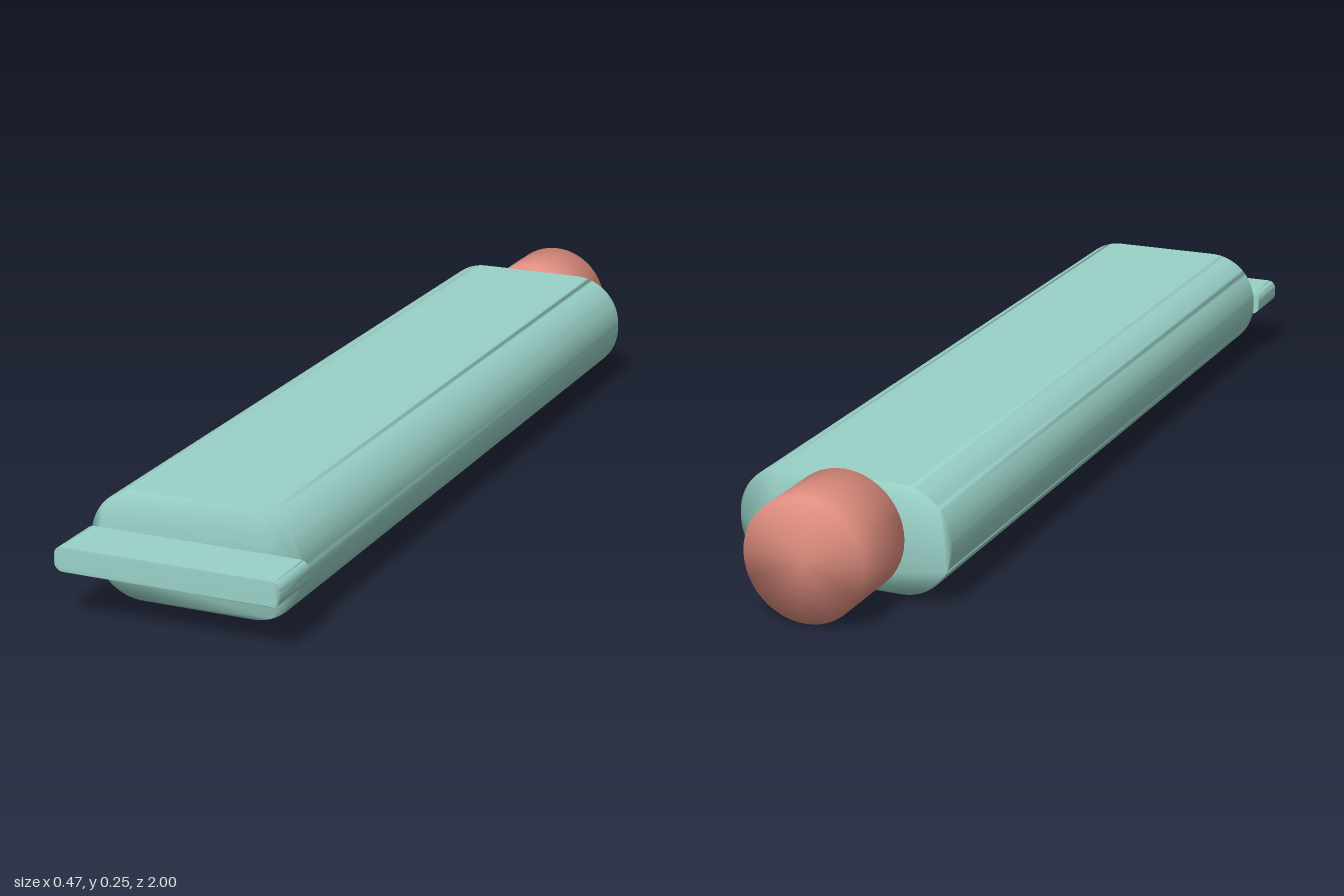
import * as THREE from 'three';
import { mergeVertices } from 'three/addons/utils/BufferGeometryUtils.js';

// Weld the corners so the shading flows softly over every edge
function soften(geometry) {
  geometry.deleteAttribute('normal');
  geometry.deleteAttribute('uv');
  const welded = mergeVertices(geometry, 1e-4);
  welded.computeVertexNormals();
  return welded;
}

// Rounded rectangle of half width w and half height h, extruded from z0 to z1
function roundedBar(w, h, r, z0, z1) {
  const s = new THREE.Shape();
  s.moveTo(-w + r, -h);
  s.lineTo(w - r, -h);
  s.absarc(w - r, -h + r, r, -Math.PI / 2, 0);
  s.lineTo(w, h - r);
  s.absarc(w - r, h - r, r, 0, Math.PI / 2);
  s.lineTo(-w + r, h);
  s.absarc(-w + r, h - r, r, Math.PI / 2, Math.PI);
  s.lineTo(-w, -h + r);
  s.absarc(-w + r, -h + r, r, Math.PI, Math.PI * 1.5);
  const g = new THREE.ExtrudeGeometry(s, { depth: z1 - z0, bevelEnabled: false, curveSegments: 10 });
  return soften(g.translate(0, 0, z0));
}

export function createModel() {
  const group = new THREE.Group();
  const teal = new THREE.MeshStandardMaterial({ color: 0x9ad2c8 });
  const coral = new THREE.MeshStandardMaterial({ color: 0xe08e80 });
  const add = (name, geometry, material) => {
    const mesh = new THREE.Mesh(geometry, material);
    mesh.name = name;
    mesh.position.y = 0.124;
    group.add(mesh);
  };

  // Long flattened tube
  add('tubeBody', roundedBar(0.22, 0.11, 0.105, -0.83, 0.88), teal);

  // Flat crimped seal at the front end
  add('crimpedEnd', roundedBar(0.233, 0.025, 0.018, 0.88, 1), teal);

  // Round cap at the back end
  const cap = new THREE.CylinderGeometry(0.123, 0.123, 0.17, 48);
  cap.rotateX(Math.PI / 2).translate(0, 0, -0.915);
  add('cap', soften(cap), coral);

  return group;
}
